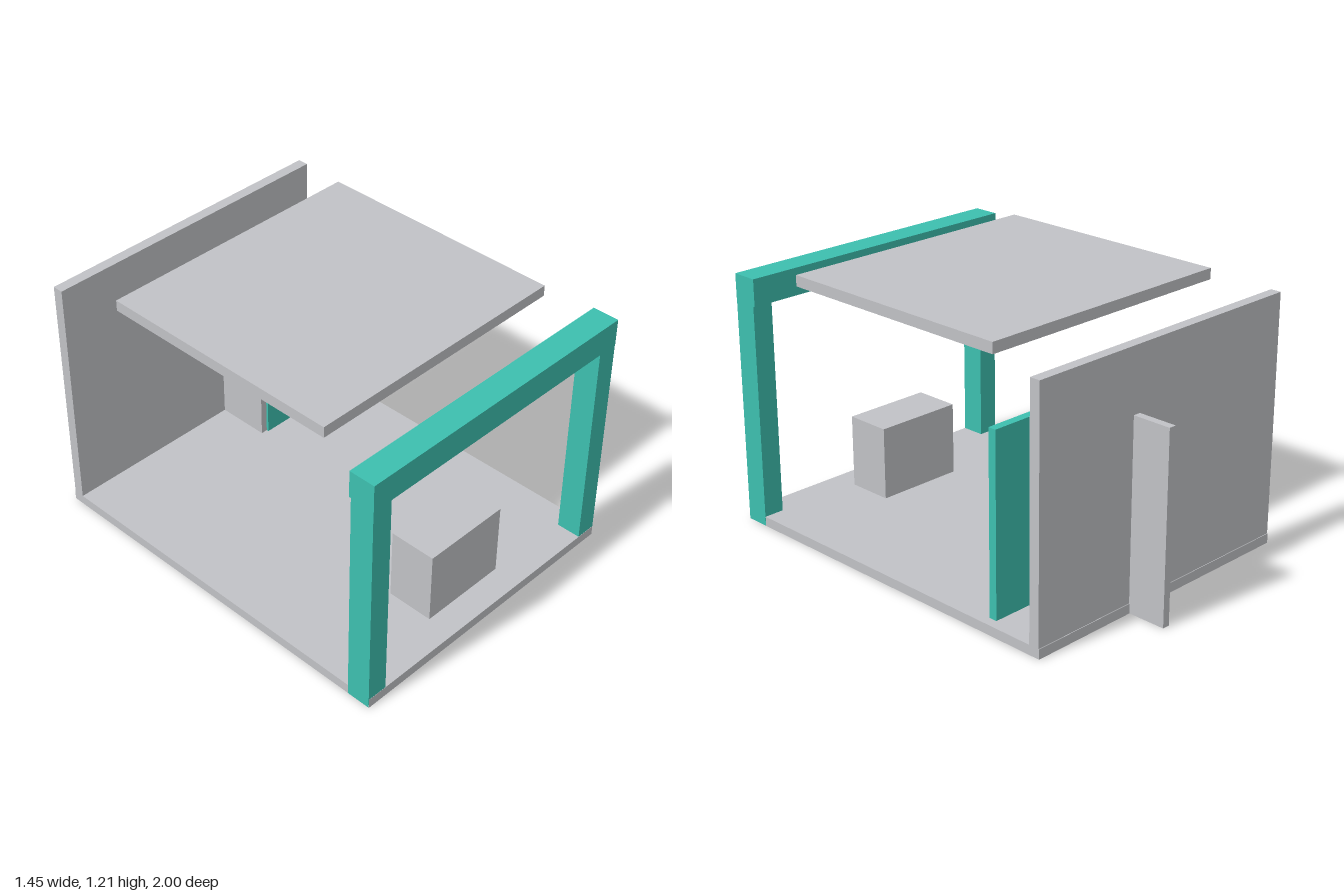
import * as THREE from 'three';

export function createModel() {
  const model = new THREE.Group();
  model.name = 'openRoom';
  const grey = new THREE.MeshStandardMaterial({ color: 0xc1c2c6 });
  grey.name = 'pale grey';
  const teal = new THREE.MeshStandardMaterial({ color: 0x3dbfaf });
  teal.name = 'teal';

  // Box given by its extents along each axis
  const box = (name, material, [x0, x1], [y0, y1], [z0, z1]) => {
    const mesh = new THREE.Mesh(new THREE.BoxGeometry(x1 - x0, y1 - y0, z1 - z0), material);
    mesh.position.set((x0 + x1) / 2, (y0 + y1) / 2, (z0 + z1) / 2);
    mesh.name = name;
    model.add(mesh);
  };

  const W = 0.722; // half width of the room

  // Shell: floor, back wall and floating ceiling panel
  box('floor', grey, [-W, W], [0, 0.045], [-0.82, 1]);
  box('backWall', grey, [-W, W], [0, 1.16], [-0.817, -0.767]);
  box('ceilingPanel', grey, [-0.65, 0.65], [1.16, 1.21], [-0.5, 0.675]);

  // Front portal: two posts and a beam; posts stand a hair proud of the floor's sides
  for (const side of [-1, 1]) {
    const xs = [side * 0.625, side * (W + 0.001)].sort((a, b) => a - b);
    box(side > 0 ? 'leftPost' : 'rightPost', teal, xs, [0.001, 1.04], [0.885, 0.999]);
  }
  box('portalBeam', teal, [-W - 0.001, W + 0.001], [1.037, 1.162], [0.876, 1]);

  // Partition running through the back wall, with a screen across its front
  box('partitionFin', grey, [0.158, 0.193], [0, 0.87], [-1, -0.513]);
  box('screenPanel', teal, [0.19, 0.677], [0.001, 0.871], [-0.54, -0.502]);

  // Counter block near the front
  box('counterBlock', grey, [-0.215, 0.213], [0.04, 0.387], [0.65, 0.87]);

  return model;
}
